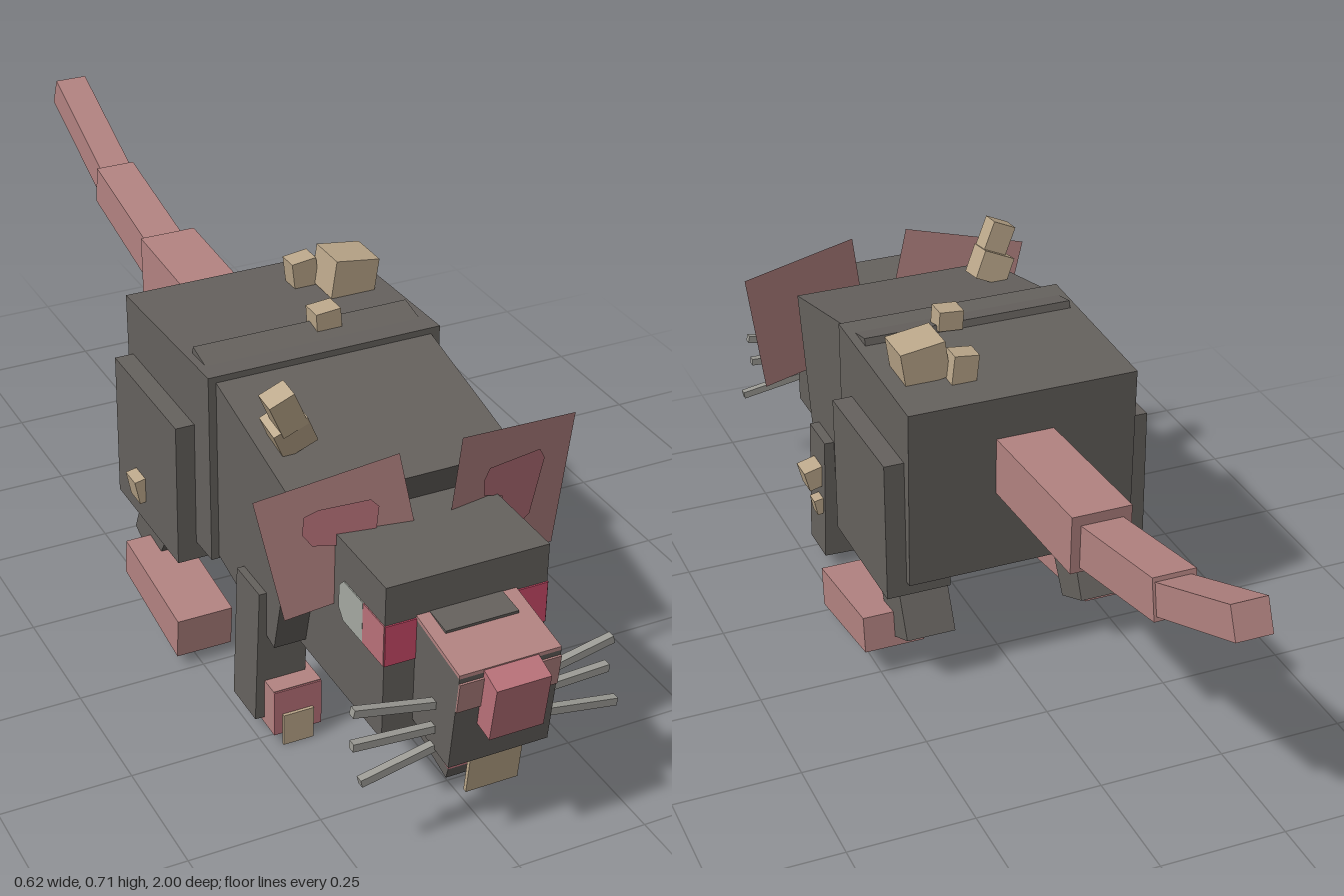
import * as THREE from 'three';

const mat = (name, color, extra = {}) => Object.assign(new THREE.MeshStandardMaterial({ color, ...extra }), { name });

export function createModel() {
  const model = new THREE.Group();
  model.name = 'rat';
  const fur = mat('dark fur', 0x66625e);
  const skin = mat('pink skin', 0xb48482);
  const earSkin = mat('ear skin', 0xb28281, { side: THREE.DoubleSide });
  const rose = mat('rose skin', 0xba727a);
  const innerEar = mat('inner ear', 0xb8727a, { side: THREE.DoubleSide });
  const crimson = mat('crimson eye', 0xca4a68);
  const glint = mat('pale eye', 0xa6aaa2);
  const tan = mat('tan growth', 0xbca88b);
  const whiskerGrey = mat('whisker grey', 0x9c9b95);

  const add = (name, geometry, material) => {
    const mesh = new THREE.Mesh(geometry, material);
    mesh.name = name;
    model.add(mesh);
    return mesh;
  };
  const box = (name, material, size, pos, rot = [0, 0, 0]) => {
    const mesh = add(name, new THREE.BoxGeometry(...size), material);
    mesh.position.set(...pos);
    mesh.rotation.set(...rot);
    return mesh;
  };
  // Solid with a side outline of [z, y] points, spanning x0 to x1
  const slab = (name, material, x0, x1, outline) => {
    const shape = new THREE.Shape(outline.map(p => new THREE.Vector2(...p)));
    const geometry = new THREE.ExtrudeGeometry(shape, { depth: x1 - x0, bevelEnabled: false });
    geometry.rotateY(-Math.PI / 2).translate(x1, 0, 0);
    return add(name, geometry, material);
  };

  // Body
  slab('hindBody', fur, -0.245, 0.218, [[0.28, 0.635], [-0.1, 0.622], [-0.088, 0.247], [0.285, 0.257]]);
  box('foreBody', fur, [0.43, 0.35, 0.43], [-0.015, 0.427, 0.35], [0.228, 0, 0]);
  slab('belly', fur, -0.16, 0.13, [[0.52, 0.205], [0.4, 0.165], [0.08, 0.197], [0.08, 0.32], [0.5, 0.32]]);

  // Tail
  slab('tailBase', skin, -0.075, 0.042, [[-0.08, 0.534], [-0.44, 0.556], [-0.436, 0.437], [-0.08, 0.416]]);
  slab('tailMiddle', skin, -0.058, 0.024, [[-0.42, 0.531], [-0.72, 0.594], [-0.733, 0.514], [-0.42, 0.443]]);
  slab('tailTip', skin, -0.048, 0.019, [[-0.7, 0.576], [-0.976, 0.697], [-1, 0.64], [-0.72, 0.518]]);

  // Head
  slab('head', fur, -0.168, 0.14, [[0.81, 0.497], [0.5, 0.497], [0.5, 0.19], [0.81, 0.19]]);
  slab('snout', fur, -0.11, 0.08, [[0.957, 0.395], [0.935, 0.2], [0.76, 0.22], [0.78, 0.424]]);
  slab('snoutTop', skin, -0.11, 0.08, [[0.957, 0.395], [0.957, 0.402], [0.81, 0.427], [0.81, 0.418]]);
  slab('snoutFront', skin, -0.11, 0.08, [[0.96, 0.385], [0.953, 0.325], [0.945, 0.325], [0.952, 0.385]]);
  slab('nose', rose, -0.065, 0.037, [[1, 0.385], [0.985, 0.278], [0.94, 0.285], [0.95, 0.402]]);
  slab('noseBridge', fur, -0.085, 0.053, [[0.865, 0.423], [0.862, 0.393], [0.79, 0.4], [0.79, 0.43]]);
  slab('lowerJaw', fur, -0.083, 0.053, [[0.89, 0.155], [0.884, 0.133], [0.74, 0.17], [0.75, 0.2]]);
  slab('mouthFloor', rose, -0.083, 0.053, [[0.89, 0.155], [0.89, 0.16], [0.75, 0.205], [0.75, 0.2]]);
  box('teeth', tan, [0.1, 0.078, 0.008], [-0.014, 0.161, 0.92], [0.12, 0, 0]);

  // Eyes wrap round the front corners of the head
  for (const s of [-1, 1]) {
    box('eyeFront', crimson, [0.078, 0.08, 0.004], [-0.014 + s * 0.115, 0.382, 0.811]);
    box('eyeSide', rose, [0.004, 0.08, 0.075], [-0.014 + s * 0.154, 0.382, 0.773]);
    const patch = new THREE.Shape([[0.735, 0.342], [0.735, 0.422], [0.665, 0.422], [0.648, 0.405], [0.648, 0.36], [0.665, 0.342]]
      .map(p => new THREE.Vector2(...p)));
    const g = new THREE.ExtrudeGeometry(patch, { depth: 0.004, bevelEnabled: false });
    g.rotateY(-Math.PI / 2).translate(-0.012 + s * 0.154, 0, 0);
    add('eyePatch', g, glint);
  }

  // Ears: flat sheets swept back toward their outer edges
  const sheet = (name, material, points, lift) => {
    const g = new THREE.ShapeGeometry(new THREE.Shape(points.map(p => new THREE.Vector2(...p))));
    const p = g.attributes.position;
    for (let i = 0; i < p.count; i++) p.setZ(i, 0.656 - 0.17 * Math.abs(p.getX(i)) + lift);
    g.computeVertexNormals();
    return add(name, g, material);
  };
  sheet('rightEar', earSkin, [[-0.31, 0.58], [-0.06, 0.635], [-0.008, 0.39], [-0.255, 0.333]], 0);
  sheet('leftEar', earSkin, [[0.06, 0.634], [0.31, 0.6], [0.275, 0.345], [0.027, 0.378]], 0);
  sheet('rightInnerEar', innerEar,
    [[-0.225, 0.54], [-0.2, 0.55], [-0.11, 0.556], [-0.095, 0.54], [-0.1, 0.48], [-0.15, 0.472], [-0.21, 0.48], [-0.228, 0.505]], 0.005);
  sheet('leftInnerEar', innerEar,
    [[0.12, 0.556], [0.23, 0.556], [0.242, 0.535], [0.215, 0.43], [0.2, 0.42], [0.165, 0.425], [0.15, 0.49], [0.11, 0.505], [0.108, 0.535]], 0.005);

  // Whiskers from [x, y] at the snout to [x, y] at the tip
  for (const [x0, y0, x1, y1] of [
    [-0.1, 0.293, -0.262, 0.326], [-0.1, 0.245, -0.262, 0.257], [-0.1, 0.208, -0.245, 0.177],
    [0.07, 0.289, 0.232, 0.324], [0.07, 0.26, 0.227, 0.266], [0.07, 0.217, 0.25, 0.187]]) {
    box('whisker', whiskerGrey, [Math.hypot(x1 - x0, y1 - y0), 0.015, 0.015],
      [(x0 + x1) / 2, (y0 + y1) / 2, 0.88], [0, 0, Math.atan((y1 - y0) / (x1 - x0))]);
  }

  // Legs
  for (const s of [-1, 1]) {
    const c = -0.012;
    const span = (inner, outer) => (s < 0 ? [c - outer, c - inner] : [c + inner, c + outer]);
    slab('thigh', fur, ...span(0.14, 0.27), [[0.215, 0.507], [-0.073, 0.51], [-0.073, 0.218], [0.215, 0.218]]);
    slab('hindShin', fur, ...span(0.135, 0.235), [[0.11, 0.235], [-0.02, 0.255], [-0.083, 0.118], [0.01, 0.075]]);
    slab('hindFoot', skin, ...span(0.175, s < 0 ? 0.286 : 0.298), [[0.245, 0.108], [-0.007, 0.14], [-0.015, 0.065], [0.238, 0.025]]);
    box('frontLeg', fur, [0.097, 0.27, 0.094], [c + s * 0.188, 0.17, 0.442], [0, 0, s * 0.03]);
    slab('frontPaw', skin, ...span(0.128, 0.222), [[0.527, 0.117], [0.437, 0.117], [0.437, 0.024], [0.527, 0.022]]);
    box('frontPawFace', rose, [0.094, 0.093, 0.004], [c + s * 0.175, 0.069, 0.528]);
    box('claw', tan, [0.06, 0.065, 0.006], [c + s * 0.176, 0.0325, 0.533]);
  }

  // Growths scattered over the body: size, position, rotation
  for (const [size, pos, rot] of [
    [[0.09, 0.075, 0.085], [0.142, 0.66, 0.047], [0, 0, -0.14]],
    [[0.05, 0.06, 0.042], [0.073, 0.65, -0.002], [0, 0, 0.12]],
    [[0.05, 0.04, 0.044], [0.026, 0.655, 0.19], [0, 0, 0.08]],
    [[0.068, 0.06, 0.06], [-0.175, 0.612, 0.46], [0.15, 0, 0.42]],
    [[0.05, 0.075, 0.045], [-0.192, 0.662, 0.475], [0.1, 0, 0.42]],
    [[0.042, 0.05, 0.045], [-0.278, 0.292, 0.04], [0, 0, 0.2]],
    [[0.045, 0.045, 0.05], [0.234, 0.217, 0.438], [0, 0, -0.25]],
    [[0.03, 0.035, 0.03], [0.226, 0.152, 0.422], [0, 0, -0.2]]]) {
    box('growth', tan, size, pos, rot);
  }
  return model;
}
